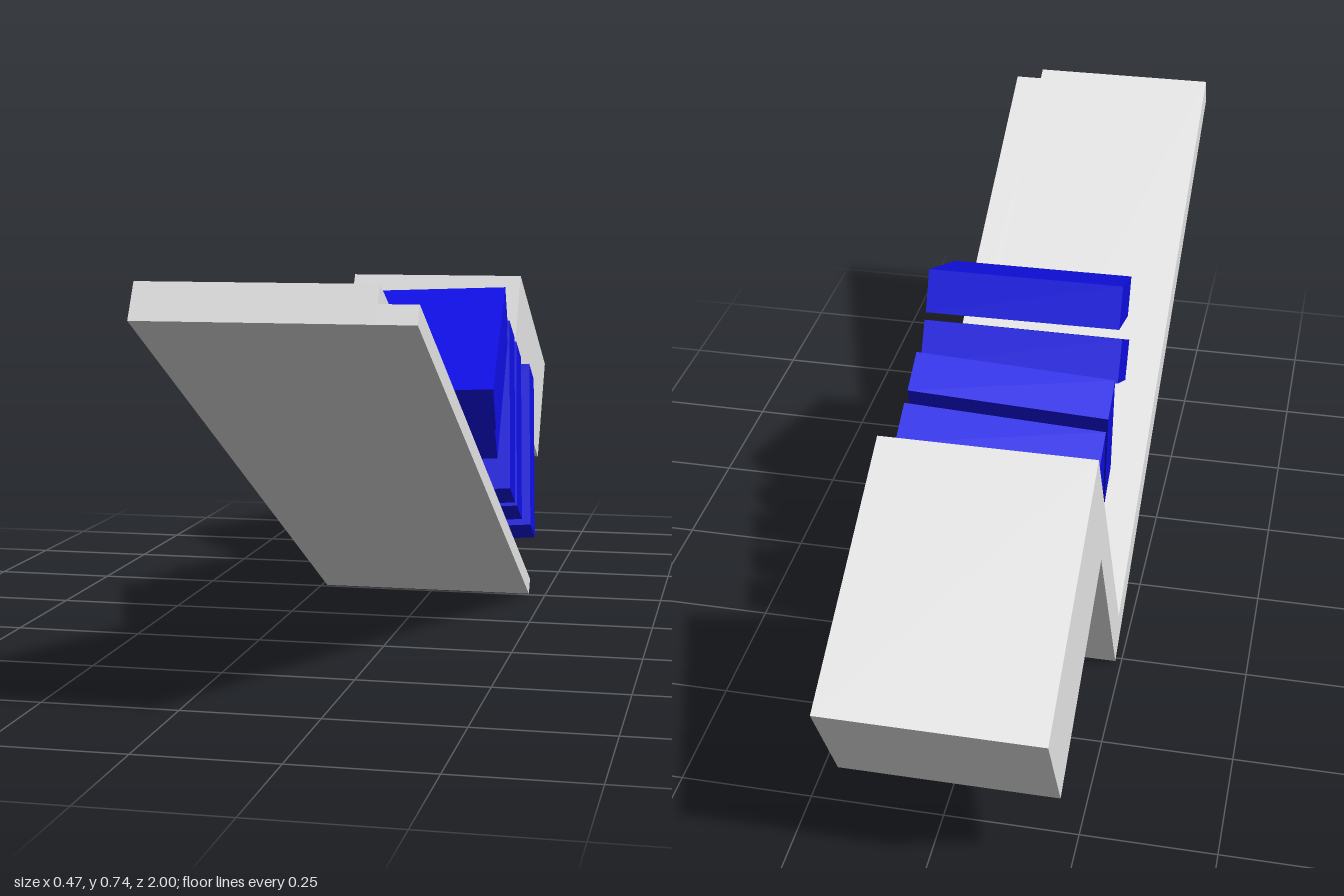
import * as THREE from 'three';

export function createModel() {
  const model = new THREE.Group();
  model.name = 'bookTray';

  const trayGrey = new THREE.MeshStandardMaterial({ color: 0xeeeeee });
  trayGrey.name = 'light grey';
  const bookBlue = new THREE.MeshStandardMaterial({ color: 0x1010f0 });
  bookBlue.name = 'blue';

  // Tilted tray: its local z runs up the floor, its local y up the back wall
  const tray = new THREE.Group();
  tray.name = 'tray';
  tray.position.set(0, 0, -0.26);
  tray.rotation.x = -0.498;
  model.add(tray);

  // Floor, back wall and rear block as one side profile (along floor, along wall)
  const profile = new THREE.Shape([
    [0, 0], [1.434, 0], [1.434, 0.067], [0.07, 0.067],
    [0.07, 0.73], [-0.445, 0.73], [-0.445, 0.48], [0, 0.48],
  ].map(([d, p]) => new THREE.Vector2(d, p)));
  const bodyGeo = new THREE.ExtrudeGeometry(profile, { depth: 0.388, bevelEnabled: false });
  bodyGeo.rotateY(-Math.PI / 2); // extrusion now runs towards -x
  const body = new THREE.Mesh(bodyGeo, trayGrey);
  body.name = 'trayBody';
  body.position.x = 0.15;
  tray.add(body);

  // Thin ledge along the left side of the floor
  const ledge = new THREE.Mesh(new THREE.BoxGeometry(0.064, 0.034, 1.434), trayGrey);
  ledge.name = 'sideLedge';
  ledge.position.set(0.182, 0.017, 0.717);
  tray.add(ledge);

  // Leaning books: x, y, z, tilt in degrees, twist in radians, length
  const books = [
    [0.025, 0.558, 0.214, 25.2, 0.08, 0.384],
    [0.007, 0.495, 0.086, 30.2, 0.08, 0.384],
    [0.006, 0.409, -0.083, 61, 0.08, 0.37],
    [0.006, 0.356, -0.185, 61, 0.08, 0.37],
    [0.022, 0.300, -0.276, 61, 0.08, 0.37],
  ];
  books.forEach(([x, y, z, tilt, twist, length], i) => {
    const book = new THREE.Mesh(new THREE.BoxGeometry(0.387, 0.086, length), bookBlue);
    book.name = `book${i + 1}`;
    book.position.set(x, y, z);
    book.rotation.set(THREE.MathUtils.degToRad(tilt), twist, 0);
    model.add(book);
  });

  return model;
}
